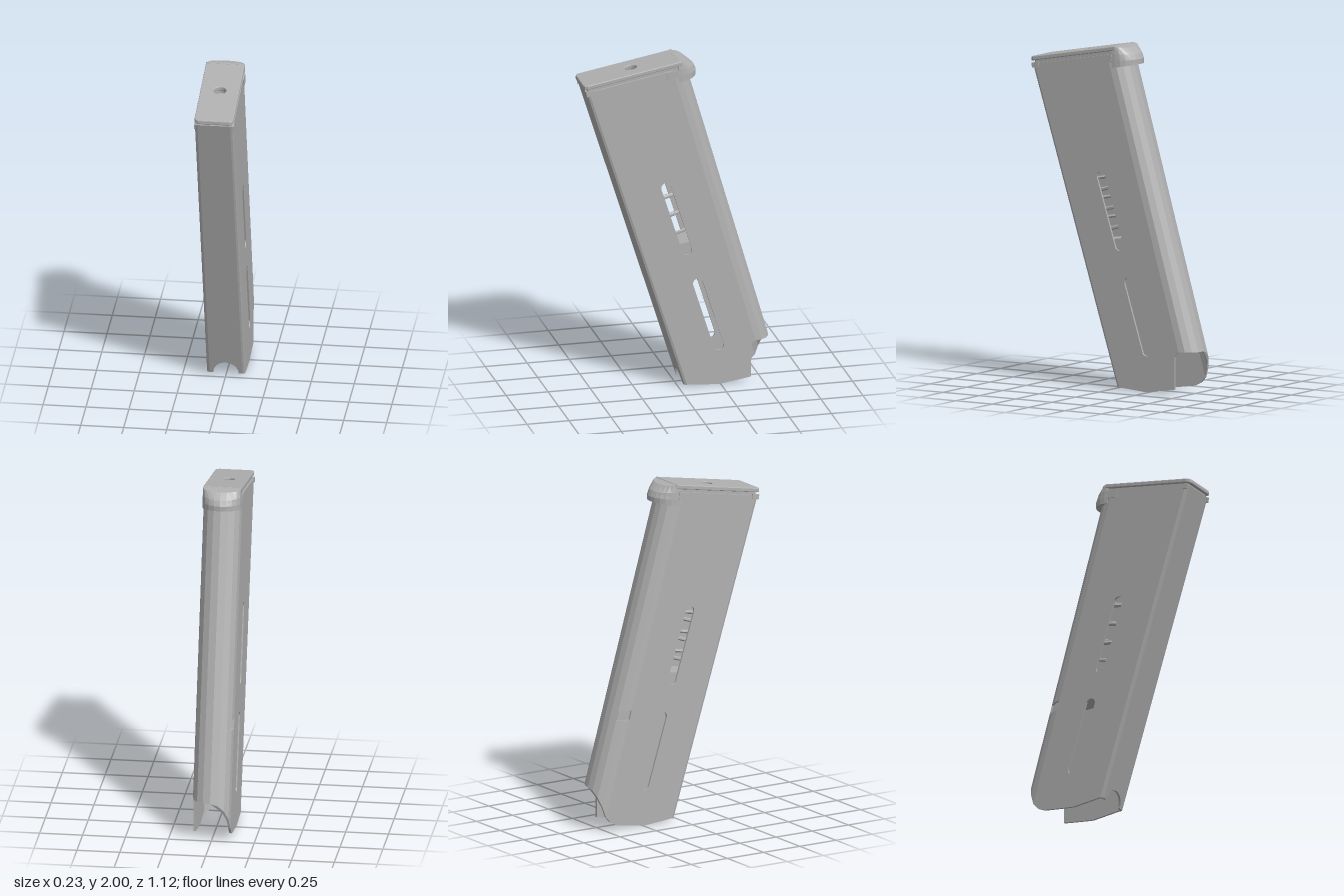
import * as THREE from 'three';

const HALF = 0.112, WALL = 0.012, REAR = 0.1;
const zFront = y => -0.036 + 0.315 * y; // slanted front edge
const zBack = y => -0.63 + 0.289 * y; // slanted rear edge
const capSlope = 0.18;

export function createModel() {
  const model = new THREE.Group();
  const steel = new THREE.MeshStandardMaterial({ color: 0xb0b0b0 });
  steel.name = 'grey steel';

  const add = (name, geometry) => {
    const g = geometry.index ? geometry.toNonIndexed() : geometry;
    g.computeVertexNormals();
    const mesh = new THREE.Mesh(g, steel);
    mesh.name = name;
    model.add(mesh);
    return mesh;
  };
  const toShape = pts => new THREE.Shape(pts.map(p => new THREE.Vector2(p[0], p[1])));
  const extrude = (shape, depth, extra = {}) =>
    new THREE.ExtrudeGeometry(shape, { depth, bevelEnabled: false, curveSegments: 10, ...extra });
  const bend = (geometry, rule) => {
    const p = geometry.attributes.position;
    for (let i = 0; i < p.count; i++) p.setXYZ(i, ...rule(p.getX(i), p.getY(i), p.getZ(i)));
    return geometry;
  };
  // Side profile in (z, y), extruded across x from x0 towards -x
  const sideProfile = (shape, x0, depth) => extrude(shape, depth).rotateY(-Math.PI / 2).translate(x0, 0, 0);
  // Plan outline in (x, z), extruded up in y
  const plan = (pts, depth, holes = [], extra) => {
    const s = toShape(pts.map(([x, z]) => [x, -z]));
    s.holes.push(...holes);
    return extrude(s, depth, extra).rotateX(-Math.PI / 2);
  };

  // Side walls with two long slots each
  const slot = (z0, y0, z1, y1, r) => {
    const a = Math.atan2(y1 - y0, z1 - z0), q = Math.PI / 2;
    const path = new THREE.Path();
    path.absarc(z0, y0, r, a + q, a + 3 * q, false);
    path.absarc(z1, y1, r, a - q, a + q, false);
    path.closePath();
    return path;
  };
  const rearCorner = {
    1: [[-0.43, 0.03], [-0.43, 0.22], [-0.44, 0.24], [zBack(0.25) + REAR, 0.25]],
    [-1]: [[-0.43, 0.028], [-0.475, 0.05], [zBack(0.085) + REAR, 0.085]],
  };
  for (const side of [1, -1]) {
    const wall = toShape([
      [zFront(0.015) - 0.017, 0.015], [-0.23, 0], [-0.27, 0.005], ...rearCorner[side],
      [zBack(1.95) + REAR, 1.95], [zFront(1.86) - 0.017, 1.86],
    ]);
    wall.holes.push(slot(0.075, 1.235, -0.05, 0.84, 0.029), slot(-0.115, 0.63, -0.238, 0.24, 0.03));
    add(side > 0 ? 'leftWall' : 'rightWall', sideProfile(wall, side > 0 ? HALF : -HALF + WALL, WALL));

    // Rounded front corners
    const corner = [[0.095, 0], [0.106, -0.004], [HALF, -0.017], [HALF - WALL, -0.017], [0.095, -WALL]];
    add('frontCorner', bend(plan(corner.map(([x, z]) => [x * side, z]), 1), (x, t, z) => {
      const y = 0.012 + t * 1.85;
      return [x, y, zFront(y) + z];
    }));

    // Small retaining tabs below the base plate
    for (const [y, z, h, d] of [[1.853, 0.527, 0.03, 0.045], [1.925, 0.035, 0.045, 0.07]]) {
      const tab = add('retainingTab', new THREE.BoxGeometry(0.008, h, d));
      tab.position.set(side * HALF, y, z);
      tab.rotation.x = Math.atan(capSlope);
    }
  }

  // Front wall with an arched cutout at the bottom
  const front = new THREE.Shape();
  front.moveTo(-0.095, 0.012);
  front.lineTo(-0.075, 0.012);
  front.absarc(0, 0.015, 0.073, Math.PI, 0, true);
  front.lineTo(0.075, 0.012);
  front.lineTo(0.095, 0.012);
  front.lineTo(0.095, 1.862);
  front.lineTo(-0.095, 1.862);
  add('frontWall', bend(extrude(front, WALL), (x, y, z) => [x, y, zFront(y) + z - WALL]));

  // Rounded rear wall, in three bands so the middle one leaves a catch notch
  const rearBand = (from, bottom, top) => {
    const outer = [], inner = [];
    for (let i = from; i <= 8; i++) {
      const a = (i / 8 - 0.5) * Math.PI;
      outer.push([HALF * Math.sin(a), REAR * (1 - Math.cos(a))]);
      inner.unshift([(HALF - WALL) * Math.sin(a), REAR - (REAR - WALL) * Math.cos(a)]);
    }
    return bend(plan([...outer, ...inner], 1), (x, t, d) => {
      const y0 = bottom(x, d), y = y0 + t * (top - y0);
      return [x, y, zBack(y) + d];
    });
  };
  add('rearWallLower', rearBand(0, (x, d) => (x < -0.001 ? 0.25 - 1.65 * d : 0.25), 0.645));
  add('rearWallNotched', rearBand(2, () => 0.645, 0.7));
  add('rearWallUpper', rearBand(0, () => 0.7, 1.945));

  // Follower block inside the body
  add('follower', sideProfile(toShape([
    [zFront(0.84) - 0.02, 0.84], [zFront(0.7) - 0.02, 0.7],
    [zBack(0.71) + 0.09, 0.71], [zBack(0.92) + 0.09, 0.92],
  ]), 0.096, 0.192));

  // Flattened coil spring above the follower
  const coil = [];
  const turns = 8, per = 16;
  const square = v => Math.sign(v) * Math.pow(Math.abs(v), 0.6);
  for (let i = 0; i <= turns * per; i++) {
    const a = (i / per) * Math.PI * 2, y = 0.92 + (i / per) * 0.111;
    const f = zFront(y) - 0.04, b = zBack(y) + 0.09;
    const off = square(Math.cos(a)) * (f - b) / 2;
    coil.push(new THREE.Vector3(0.075 * square(Math.sin(a)), y - 0.25 * off, (f + b) / 2 + off));
  }
  add('spring', new THREE.TubeGeometry(new THREE.CatmullRomCurve3(coil), turns * 40, 0.011, 6, false));

  // Sloping base plate and the narrower rail beneath it, both with a round hole
  const plate = (w, zEnd, r, thick, drop, extra) => {
    const hole = new THREE.Path();
    hole.absarc(0, -0.26, 0.041, 0, Math.PI * 2, true);
    const pts = [[-w, -0.01], [-w, zEnd - r], [-w + r * 0.3, zEnd - r * 0.3], [-w + r, zEnd],
      [w - r, zEnd], [w - r * 0.3, zEnd - r * 0.3], [w, zEnd - r], [w, -0.01]];
    return bend(plan(pts, thick, [hole], extra), (x, y, z) => [x, y + 2 - drop - capSlope * z, z]);
  };
  add('basePlate', plate(0.108, 0.558, 0.018, 0.016, 0.021,
    { bevelEnabled: true, bevelSize: 0.005, bevelThickness: 0.005, bevelSegments: 2 }));
  add('plateRail', plate(0.1, 0.54, 0.01, 0.045, 0.066));

  // Domed plunger in the plate hole
  const plunger = add('plunger', new THREE.SphereGeometry(0.041, 12, 5, 0, Math.PI * 2, 0, Math.PI / 2));
  plunger.scale.y = 0.6;
  plunger.position.set(0, 1.905, 0.26);
  plunger.rotation.x = Math.atan(capSlope);

  // Heel that hooks over the top of the rear wall
  const heelArc = [[-0.114, 0.002]];
  for (let i = 0; i <= 10; i++) {
    const a = (i / 10 - 0.5) * Math.PI;
    heelArc.push([0.114 * Math.sin(a), -0.02 - 0.105 * Math.cos(a)]);
  }
  heelArc.push([0.114, 0.002]);
  add('heel', bend(plan(heelArc, 1, [], { steps: 3 }), (x, t, z) => {
    const k = Math.max(0, (t - 0.3) / 0.7); // upper part leans inwards
    const zz = z < -0.02 ? -0.02 + (z + 0.02) * (1 - 0.55 * k * k) : z;
    const low = 1.875 - 0.16 * z, high = 2 + 0.14 * zz;
    return [x * (1 - 0.05 * k * k), low + t * (high - low), zz];
  }));

  return model;
}
